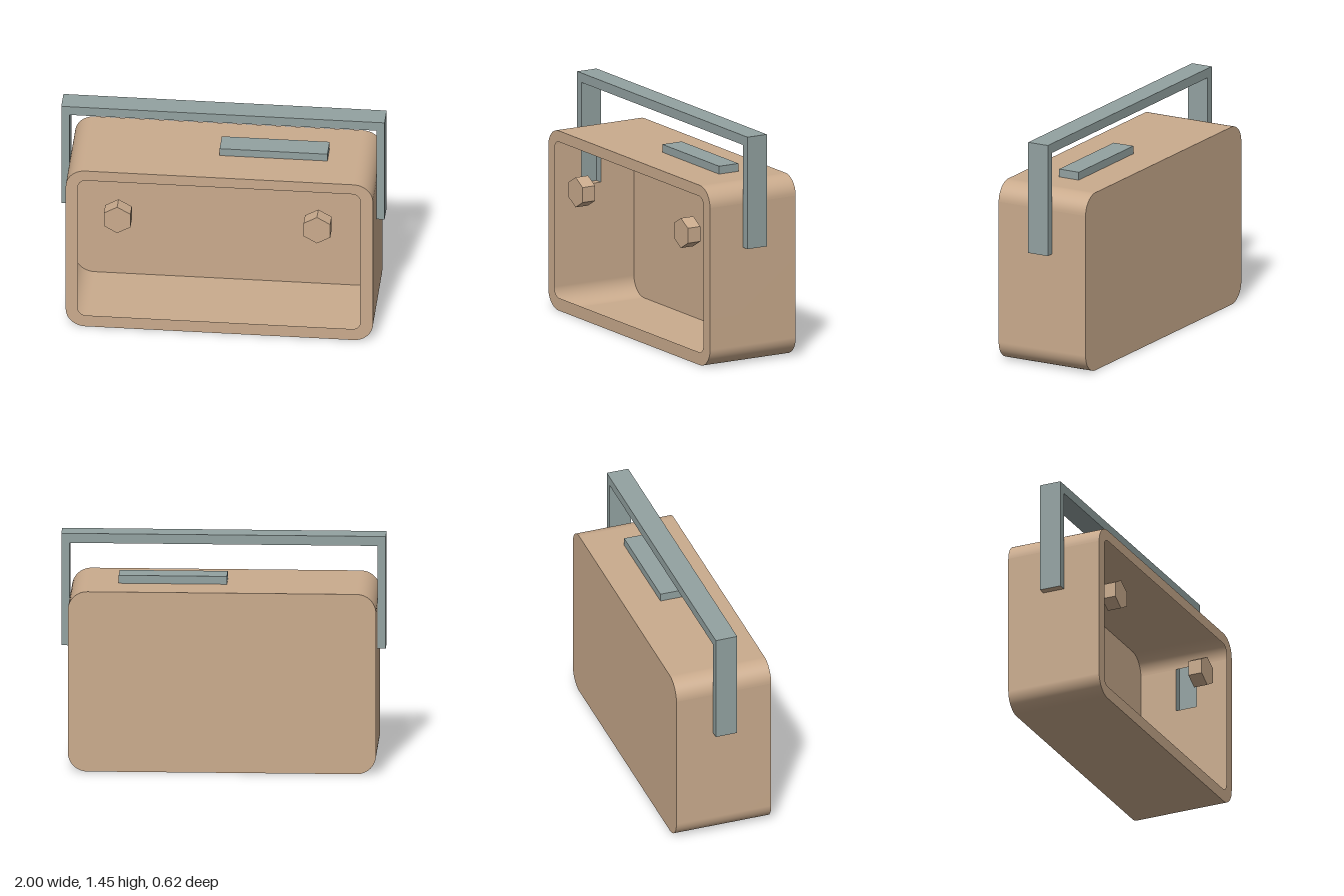
import * as THREE from 'three';

const tan = new THREE.MeshStandardMaterial({ color: 0xcaab8d, side: THREE.DoubleSide });
tan.name = 'tan shell';
const grey = new THREE.MeshStandardMaterial({ color: 0x93a2a1, side: THREE.DoubleSide });
grey.name = 'grey handle';

const W = 0.95, H = 1.14, D = 0.31, R = 0.12; // body half width, height, half depth, corner radius
const LEG = 0.07, LEG_Y = 0.74, JOIN_Y = 1.02; // handle half depth, leg bottom, top of the leg opening

// Wall swept along z from a path of [x, y] points, counter-clockwise = facing out
function wall(points, z0, z1, smooth) {
  const pos = [], index = [];
  points.forEach(([x, y], i) => {
    pos.push(x, y, z1, x, y, z0);
    const a = i * 2;
    if (i < points.length - 1) index.push(a, a + 1, a + 3, a, a + 3, a + 2);
  });
  let g = new THREE.BufferGeometry();
  g.setAttribute('position', new THREE.Float32BufferAttribute(pos, 3));
  g.setIndex(index);
  if (!smooth) g = g.toNonIndexed();
  g.computeVertexNormals();
  return g;
}

function arc(cx, cy, r, from, n = 14) {
  return Array.from({ length: n + 1 }, (_, i) => {
    const a = from + (i / n) * Math.PI / 2;
    return [cx + r * Math.cos(a), cy + r * Math.sin(a)];
  });
}

// Upper and lower halves of a rounded rectangle, counter-clockwise
const topArcs = (x0, x1, y1, r) => [...arc(x1 - r, y1 - r, r, 0), ...arc(x0 + r, y1 - r, r, Math.PI / 2)];
const lowArcs = (x0, x1, y0, r) => [...arc(x0 + r, y0 + r, r, Math.PI), ...arc(x1 - r, y0 + r, r, Math.PI * 1.5)];
const toVectors = (pts) => pts.map(([x, y]) => new THREE.Vector2(x, y));

export function createModel() {
  const model = new THREE.Group();
  const add = (parent, name, geometry, material, x = 0, y = 0, z = 0) => {
    const m = new THREE.Mesh(geometry, material);
    m.name = name;
    m.position.set(x, y, z);
    parent.add(m);
    return m;
  };

  // Thin-walled case, open at the front behind a flat rim
  const body = new THREE.Group();
  body.name = 'case';
  model.add(body);
  const top = topArcs(-W, W, H, R), low = lowArcs(-W, W, 0, R);
  add(body, 'topWall', wall(top, -D, D, true), tan);
  add(body, 'bottomWall', wall([[-W, LEG_Y], ...low, [W, LEG_Y]], -D, D, true), tan);
  for (const [z0, z1] of [[LEG, D], [-D, -LEG]]) {
    add(body, 'leftWall', wall([[W, LEG_Y], [W, JOIN_Y]], z0, z1), tan);
    add(body, 'rightWall', wall([[-W, JOIN_Y], [-W, LEG_Y]], z0, z1), tan);
  }
  const outline = toVectors([...top, ...low]);
  add(body, 'backPanel', new THREE.ShapeGeometry(new THREE.Shape(outline)).rotateY(Math.PI), tan, 0, 0, -D);
  const rim = new THREE.Shape(outline);
  rim.holes.push(new THREE.Path(toVectors([
    ...topArcs(-0.875, 0.872, 1.07, 0.05), ...lowArcs(-0.875, 0.872, 0.08, 0.05),
  ])));
  add(body, 'frontRim', new THREE.ShapeGeometry(rim), tan, 0, 0, D);

  // Hexagonal knobs level with the rim
  for (const [name, x] of [['rightKnob', -0.632], ['leftKnob', 0.604]]) {
    const g = new THREE.CylinderGeometry(0.095, 0.095, 0.09, 6).toNonIndexed();
    g.computeVertexNormals();
    add(model, name, g.rotateX(Math.PI / 2), tan, x, 0.79, D - 0.047);
  }

  // Hollow square handle whose legs open into the case
  const handle = new THREE.Group();
  handle.name = 'handle';
  model.add(handle);
  const outer = [[1, LEG_Y], [1, 1.45], [-1, 1.45], [-1, LEG_Y]];
  const inner = [[-W, JOIN_Y], [-W, 1.39], [W, 1.39], [W, JOIN_Y]];
  add(handle, 'outerFaces', wall(outer, -LEG, LEG), grey);
  add(handle, 'innerFaces', wall(inner, -LEG, LEG), grey);
  const side = new THREE.ShapeGeometry(new THREE.Shape(toVectors([
    ...outer, [-W, LEG_Y], [-W, 1.39], [W, 1.39], [W, LEG_Y],
  ])));
  add(handle, 'frontFace', side, grey, 0, 0, LEG);
  add(handle, 'backFace', side.clone().rotateY(Math.PI), grey, 0, 0, -LEG);
  add(handle, 'rightLegEnd', wall([[-1, LEG_Y], [-W, LEG_Y]], -LEG, LEG), tan);
  add(handle, 'leftLegEnd', wall([[W, LEG_Y], [1, LEG_Y]], -LEG, LEG), tan);

  // Long button on top
  add(model, 'topButton', new THREE.BoxGeometry(0.667, 0.05, 0.14), grey, 0.312, H + 0.025, -0.013);

  return model;
}
